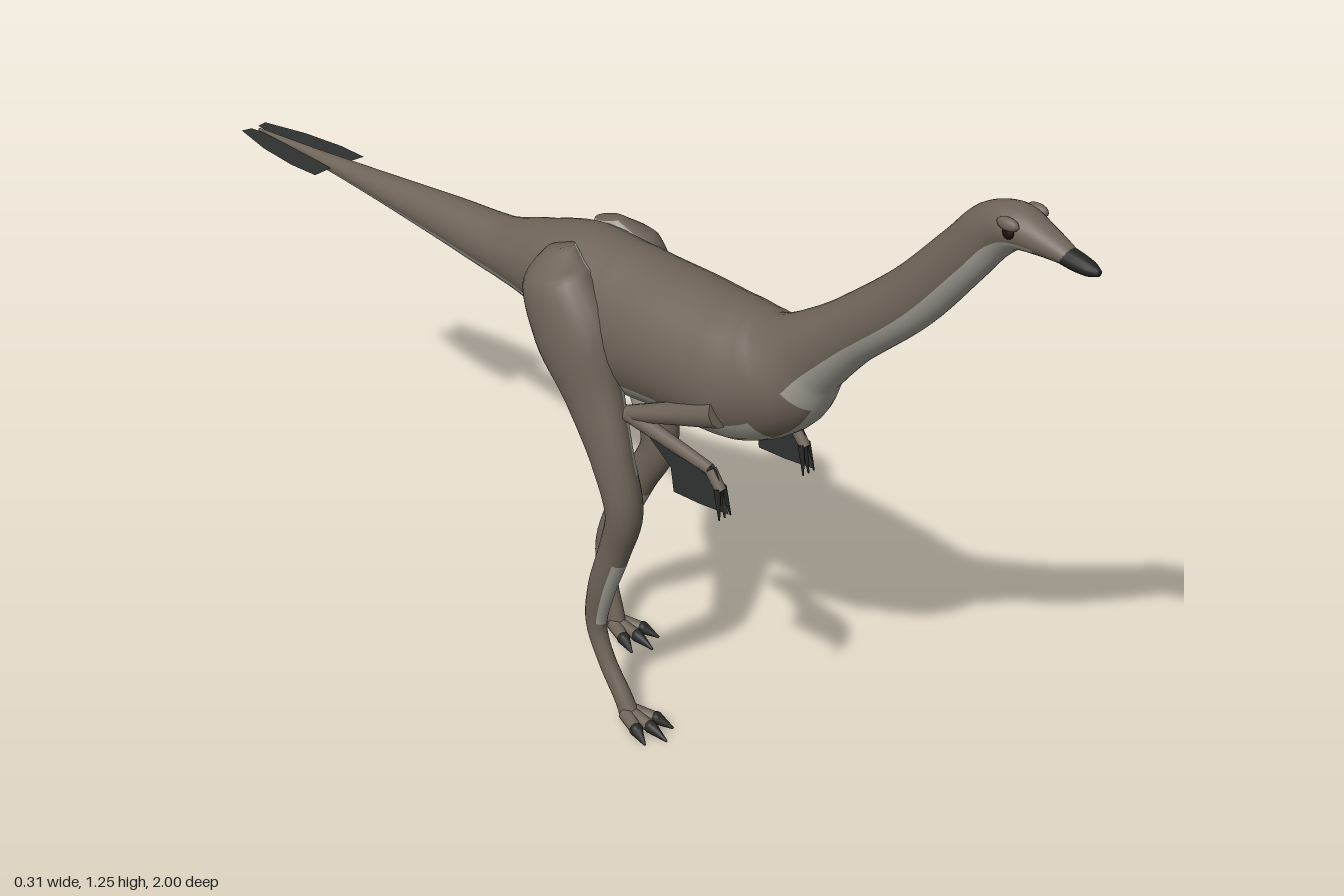
import * as THREE from 'three';

const V = (x, y, z) => new THREE.Vector3(x, y, z);
const mat = (name, color, double) => {
  const m = new THREE.MeshStandardMaterial({ color });
  m.name = name;
  if (double) m.side = THREE.DoubleSide;
  return m;
};

// Skin over oval rings; each station is [x, y, z, half width, half depth].
// pale(c, s, p) picks the second material from the ring angle and ring centre.
function loft(name, stations, sides, mats, pale = () => false) {
  const path = new THREE.CatmullRomCurve3(stations.map(s => V(s[0], s[1], s[2])));
  const radii = new THREE.CatmullRomCurve3(stations.map(s => V(s[3], s[4], 0)));
  const n = (stations.length - 1) * 6;
  const pos = [], main = [], second = [];
  for (let i = 0; i <= n; i++) {
    const p = path.getPoint(i / n), r = radii.getPoint(i / n), t = path.getTangent(i / n);
    const up = V(0, t.z, -t.y).normalize();
    for (let j = 0; j < sides; j++) {
      const a = j / sides * Math.PI * 2, c = Math.cos(a) * r.x, s = Math.sin(a) * r.y;
      pos.push(p.x + c, p.y + up.y * s, p.z + up.z * s);
    }
    if (i === n) break;
    for (let j = 0; j < sides; j++) {
      const k = (j + 1) % sides, o = i * sides, q = o + sides;
      const a = (j + 0.5) / sides * Math.PI * 2;
      (pale(Math.cos(a), Math.sin(a), p) ? second : main).push(o + j, o + k, q + k, o + j, q + k, q + j);
    }
  }
  // end caps
  const first = path.getPoint(0), last = path.getPoint(1), e = pos.length / 3;
  pos.push(...first.toArray(), ...last.toArray());
  for (let j = 0; j < sides; j++) {
    const k = (j + 1) % sides;
    main.push(e, k, j, e + 1, n * sides + j, n * sides + k);
  }
  const g = new THREE.BufferGeometry();
  g.setAttribute('position', new THREE.Float32BufferAttribute(pos, 3));
  g.setIndex([...main, ...second]);
  g.addGroup(0, main.length, 0);
  if (second.length) g.addGroup(main.length, second.length, 1);
  g.computeVertexNormals();
  const m = new THREE.Mesh(g, mats);
  m.name = name;
  return m;
}

// Tapered rod between two points
function rod(name, a, b, r0, r1, material) {
  const d = b.clone().sub(a);
  const m = new THREE.Mesh(new THREE.CylinderGeometry(r1, r0, d.length(), 10), material);
  m.position.copy(a).add(b).multiplyScalar(0.5);
  m.quaternion.setFromUnitVectors(V(0, 1, 0), d.normalize());
  m.name = name;
  return m;
}

const outline = pts => new THREE.Shape(pts.map(p => new THREE.Vector2(p[0], p[1])));

export function createModel() {
  const model = new THREE.Group();
  model.name = 'longNeckedDinosaur';
  const brown = mat('brown skin', 0x6f6459);
  const cream = mat('pale underside', 0xa3a196);
  const dark = mat('dark horn', 0x252524);
  const plume = mat('dark feathers', 0x303231, true);
  const eyeMat = mat('eye', 0x1c100b);
  const skin = [brown, cream];

  // Tail, torso, neck and head in one skin
  const spine = [
    [-0.98, 0.75, 0.003, 0.003], [-0.8, 0.756, 0.013, 0.013], [-0.6, 0.762, 0.028, 0.027],
    [-0.4, 0.766, 0.042, 0.045], [-0.25, 0.768, 0.055, 0.057], [-0.15, 0.78, 0.075, 0.077],
    [-0.05, 0.783, 0.1, 0.106], [0.06, 0.757, 0.108, 0.134], [0.2, 0.762, 0.113, 0.125],
    [0.33, 0.767, 0.108, 0.122], [0.415, 0.8, 0.088, 0.103], [0.478, 0.858, 0.06, 0.069],
    [0.555, 0.928, 0.05, 0.054], [0.67, 1.032, 0.043, 0.05], [0.765, 1.143, 0.037, 0.045],
    [0.81, 1.196, 0.035, 0.043], [0.852, 1.218, 0.037, 0.036], [0.9, 1.214, 0.027, 0.024],
    [0.945, 1.205, 0.017, 0.014], [0.955, 1.203, 0.013, 0.011],
  ].map(([z, y, rx, ry]) => [0, y, z, rx, ry]);
  const underside = (c, s, { z }) => {
    if (z < -0.76) return false;
    if (z < -0.05) return s < -0.42;
    if (z < 0.38) return s < -0.58;
    if (z < 0.44) return s < -0.9;
    return z < 0.9 && s < -0.4;
  };
  model.add(loft('body', spine, 32, skin, underside));

  // Beak
  model.add(loft('beak', [
    [0, 1.206, 0.935, 0.018, 0.0145], [0, 1.202, 0.96, 0.0165, 0.014],
    [0, 1.199, 0.985, 0.013, 0.011], [0, 1.198, 1.0, 0.005, 0.005],
  ], 14, [dark]));

  // Legs in mid-stride: the left trails, the right reaches forward
  const legs = {
    left: [
      [0.065, 0.875, -0.06, 0.02, 0.03], [0.09, 0.83, -0.05, 0.052, 0.073], [0.097, 0.75, -0.03, 0.057, 0.088],
      [0.097, 0.65, -0.01, 0.05, 0.066], [0.1, 0.55, 0.015, 0.041, 0.045], [0.1, 0.45, 0.033, 0.031, 0.036],
      [0.097, 0.36, -0.01, 0.025, 0.033], [0.095, 0.26, -0.06, 0.025, 0.032], [0.092, 0.17, -0.095, 0.018, 0.024],
      [0.088, 0.1, -0.086, 0.015, 0.021], [0.086, 0.04, -0.066, 0.016, 0.018], [0.086, 0.013, -0.06, 0.016, 0.02],
    ],
    right: [
      [-0.065, 0.875, -0.04, 0.02, 0.03], [-0.09, 0.83, -0.025, 0.052, 0.073], [-0.097, 0.75, 0.025, 0.057, 0.086],
      [-0.102, 0.65, 0.08, 0.044, 0.062], [-0.108, 0.55, 0.13, 0.034, 0.044], [-0.103, 0.45, 0.155, 0.033, 0.034],
      [-0.1, 0.36, 0.13, 0.025, 0.031], [-0.099, 0.26, 0.095, 0.021, 0.028], [-0.093, 0.17, 0.075, 0.016, 0.022],
      [-0.09, 0.1, 0.1, 0.015, 0.018], [-0.088, 0.04, 0.14, 0.016, 0.018], [-0.088, 0.013, 0.155, 0.016, 0.02],
    ],
  };
  for (const [side, stations] of Object.entries(legs)) {
    const out = side === 'left' ? 1 : -1;
    const leg = new THREE.Group();
    leg.name = side + 'Leg';
    const palePatch = (c, s, { y }) =>
      (y > 0.52 && c * out < -0.45) || (y > 0.19 && y < 0.35 && s > 0.5) || (y < 0.17 && s < -0.6);
    leg.add(loft('legSkin', stations, 20, skin, palePatch));
    // Three toes with claws
    const [x, , z] = stations[stations.length - 1];
    for (const i of [-1, 0, 1]) {
      const reach = i ? 0.8 : 1;
      const a = V(x + i * 0.008, 0.016, z), b = V(x + i * 0.025, 0.014, z + 0.055 * reach);
      const tip = V(x + i * 0.035, 0.004, z + 0.096 * reach);
      leg.add(rod('toe', a, b, 0.014, 0.011, brown), rod('toeClaw', b, tip, 0.0125, 0.002, dark));
      const knuckle = new THREE.Mesh(new THREE.SphereGeometry(0.0125, 10, 8), dark);
      knuckle.position.copy(b);
      knuckle.name = 'knuckle';
      leg.add(knuckle);
    }
    model.add(leg);
  }

  for (const out of [1, -1]) {
    // Folded arm with three claws and a feather vane
    const arm = new THREE.Group();
    arm.name = out > 0 ? 'leftArm' : 'rightArm';
    const elbow = V(out * 0.108, 0.655, 0.17), wrist = V(out * 0.1, 0.625, 0.355);
    arm.add(rod('upperArm', V(out * 0.088, 0.73, 0.36), elbow, 0.026, 0.014, brown));
    arm.add(rod('forearm', elbow, wrist, 0.015, 0.01, brown));
    arm.add(rod('hand', wrist, V(out * 0.1, 0.595, 0.38), 0.011, 0.01, brown));
    for (const i of [-1, 0, 1])
      arm.add(rod('claw', V(out * 0.1 + i * 0.007, 0.6, 0.377), V(out * 0.1 + i * 0.013, 0.548, 0.39), 0.006, 0.0015, dark));
    const vane = new THREE.ShapeGeometry(outline([
      [0.155, 0.665], [0.265, 0.59], [0.273, 0.545], [0.335, 0.55], [0.4, 0.56], [0.37, 0.632], [0.24, 0.655],
    ]));
    vane.rotateY(-Math.PI / 2);
    const wing = new THREE.Mesh(vane, plume);
    wing.name = 'armFeathers';
    wing.position.x = out * 0.102;
    arm.add(wing);
    model.add(arm);

    // Tail fan half
    const fan = new THREE.ShapeGeometry(outline([
      [0, -0.76], [out * 0.012, -0.735], [out * 0.058, -0.73], [out * 0.06, -0.8], [out * 0.05, -0.9],
      [out * 0.028, -1], [out * 0.008, -0.995], [0, -0.93],
    ]));
    fan.rotateX(Math.PI / 2);
    const half = new THREE.Mesh(fan, plume);
    half.name = 'tailFeathers';
    half.position.set(0, 0.725, 0);
    half.rotation.x = 0.034;
    half.position.y = 0.784;
    half.rotation.x = -0.034;
    model.add(half);

    // Brow and eye
    const brow = new THREE.Mesh(new THREE.SphereGeometry(0.013, 14, 10), brown);
    brow.name = 'brow';
    brow.scale.set(0.7, 0.8, 1.5);
    brow.position.set(out * 0.033, 1.235, 0.86);
    const eye = new THREE.Mesh(new THREE.SphereGeometry(0.01, 14, 10), eyeMat);
    eye.name = 'eye';
    eye.scale.x = 0.6;
    eye.position.set(out * 0.0345, 1.223, 0.863);
    model.add(brow, eye);
  }
  return model;
}
